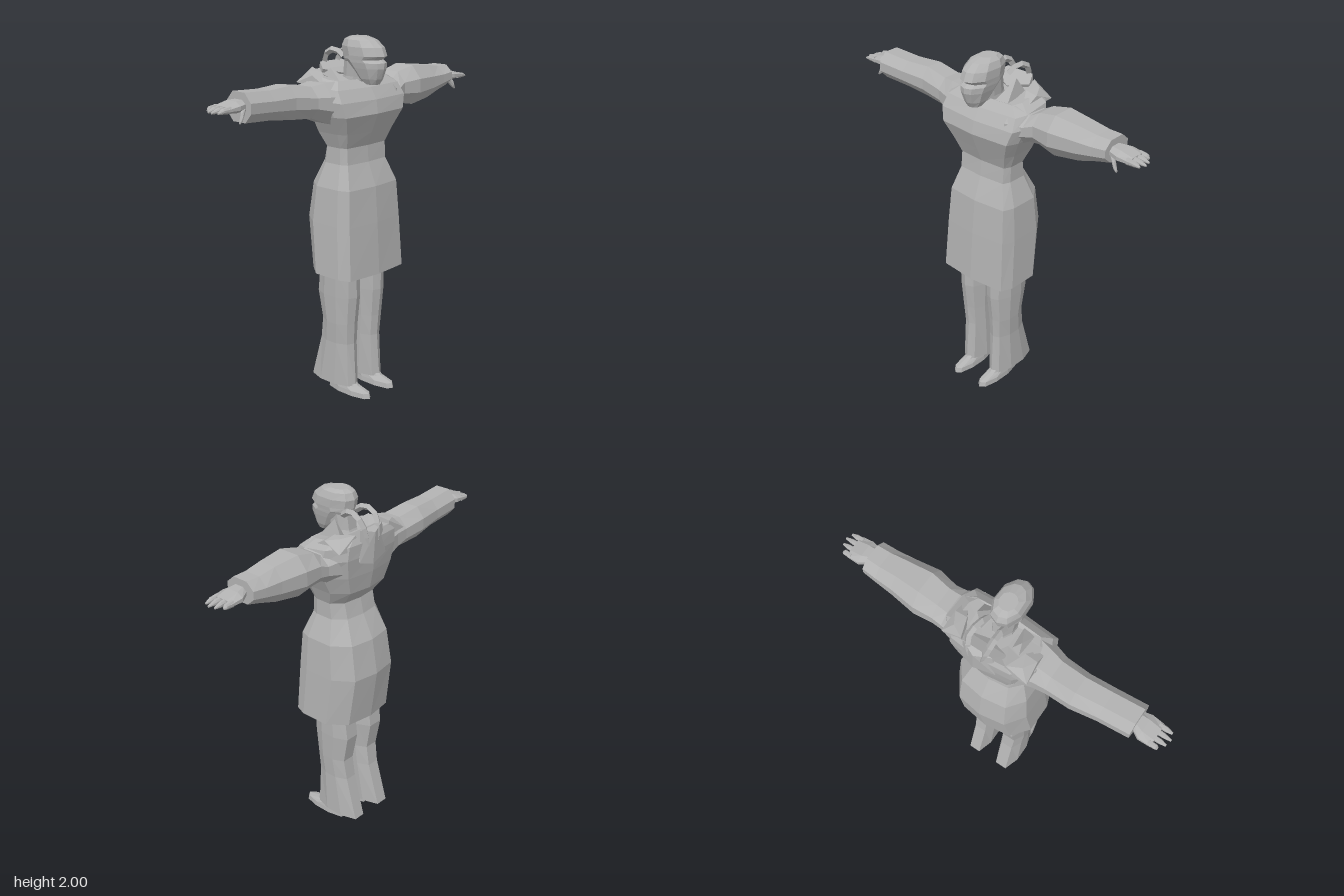
import * as THREE from 'three';
import { ConvexGeometry } from 'three/addons/geometries/ConvexGeometry.js';

const V = (x, y, z) => new THREE.Vector3(x, y, z);

// Closed faceted skin over a list of rings; winding is fixed from the enclosed volume
function loft(rings) {
  const tris = [];
  const n = rings[0].length;
  for (let r = 0; r < rings.length - 1; r++) {
    const a = rings[r], b = rings[r + 1];
    for (let i = 0; i < n; i++) {
      const j = (i + 1) % n;
      tris.push([a[i], a[j], b[j]], [a[i], b[j], b[i]]);
    }
  }
  const cap = (ring, flip) => {
    const c = ring.reduce((s, p) => s.add(p), V(0, 0, 0)).divideScalar(n);
    for (let i = 0; i < n; i++) {
      const p = ring[i], q = ring[(i + 1) % n];
      tris.push(flip ? [c, q, p] : [c, p, q]);
    }
  };
  cap(rings[0], true);
  cap(rings[rings.length - 1], false);
  let volume = 0;
  for (const [a, b, c] of tris) volume += a.dot(b.clone().cross(c));
  const points = tris.flatMap(([a, b, c]) => (volume < 0 ? [a, c, b] : [a, b, c]));
  const g = new THREE.BufferGeometry().setFromPoints(points);
  g.computeVertexNormals();
  return g;
}

// Horizontal ring: outline half is mirrored; tilt raises the back
function levelRing(half, [y, x0, x1, zb, zf, tilt = 0]) {
  const outline = [...half, ...half.slice(1, -1).reverse().map(([u, v]) => [-u, v])];
  const cx = (x0 + x1) / 2, hw = (x1 - x0) / 2, cz = (zb + zf) / 2, hd = (zf - zb) / 2;
  return outline.map(([u, v]) => V(cx + u * hw, y - tilt * (cz + v * hd), cz + v * hd));
}

// Upright ring across a limb that runs along x
const LIMB = [[1, .35], [.5, 1], [-.5, 1], [-1, .35], [-1, -.35], [-.5, -1], [.5, -1], [1, -.35]];
const limbRing = (s, [x, y0, y1, z0, z1]) => LIMB.map(([u, v]) =>
  V(s * x, (y0 + y1) / 2 + v * (y1 - y0) / 2, (z0 + z1) / 2 + u * (z1 - z0) / 2));

const COAT = [[0, 1], [.89, .9], [1, .55], [1, -.35], [.66, -.88], [0, -1]];
const ROUND = [[0, 1], [.6, .85], [1, .3], [1, -.4], [.55, -1], [0, -1]];
const SKULL = [[0, 1], [.5, .88], [.95, .45], [1, -.3], [.6, -.85], [0, -1]];

export function createModel() {
  const root = new THREE.Group();
  const grey = new THREE.MeshStandardMaterial({ color: 0xb2b2b2 });
  grey.name = 'plain grey';

  const add = (name, geometry) => {
    const mesh = new THREE.Mesh(geometry, grey);
    mesh.name = name;
    root.add(mesh);
  };
  const stack = (name, half, rows) => add(name, loft(rows.map((r) => levelRing(half, r))));
  const limb = (name, s, rows) => add(name, loft(rows.map((r) => limbRing(s, r))));
  const facet = (name, pts) => add(name, new ConvexGeometry(pts.map((p) => V(...p))));

  // Coat from hem to shoulders: y, x min, x max, z back, z front, tilt
  stack('coat', COAT, [
    [.71, -.23, .245, -.18, .2],
    [1.0, -.215, .235, -.222, .182],
    [1.2, -.2, .225, -.19, .165],
    [1.33, -.16, .177, -.12, .115],
    [1.42, -.158, .178, -.1, .107],
    [1.5, -.19, .21, -.165, .14],
    [1.6, -.24, .26, -.185, .18],
    [1.69, -.262, .29, -.2, .165, .1],
    [1.755, -.25, .275, -.2, .125, .15],
    [1.79, -.2, .215, -.185, .08, .15],
    [1.775, -.07, .08, -.12, .06, .1],
  ]);

  // Neck and head
  stack('neck', ROUND, [
    [1.72, -.06, .07, -.07, .08],
    [1.79, -.05, .06, -.04, .11],
    [1.87, -.055, .065, -.03, .13],
  ]);
  stack('head', SKULL, [
    [1.755, -.03, .04, .11, .185],
    [1.785, -.048, .058, .06, .205],
    [1.84, -.065, .075, 0, .226],
    [1.87, -.072, .082, -.03, .226],
    [1.885, -.074, .084, -.04, .2],
    [1.905, -.076, .086, -.045, .228],
    [1.95, -.076, .086, -.052, .208],
    [1.985, -.062, .072, -.035, .16],
    [2.0, -.04, .05, 0, .1],
  ]);

  // Sleeves: x, y min, y max, z back, z front
  limb('leftSleeve', 1, [
    [.2, 1.56, 1.78, -.15, .14], [.285, 1.6, 1.745, -.13, .1], [.34, 1.6, 1.775, -.13, .085],
    [.45, 1.58, 1.8, -.14, .105], [.6, 1.6, 1.785, -.12, .085],
    [.7, 1.63, 1.77, -.115, .075], [.78, 1.65, 1.77, -.11, .07],
  ]);
  limb('rightSleeve', -1, [
    [.17, 1.54, 1.78, -.15, .13], [.255, 1.57, 1.775, -.13, .1], [.33, 1.6, 1.765, -.125, .075],
    [.47, 1.61, 1.785, -.13, .06], [.62, 1.63, 1.78, -.11, .068], [.79, 1.64, 1.79, -.1, .077],
  ]);

  for (const s of [1, -1]) {
    const side = s > 0 ? 'left' : 'right';
    const lift = s > 0 ? 0 : .02;

    // Hand with four fingers and a drooping thumb
    limb(side + 'Palm', s, [
      [.77, 1.68 + lift, 1.735 + lift, -.055, .035],
      [.83, 1.672 + lift, 1.73 + lift, -.09, .05],
      [.9, 1.68 + lift, 1.712 + lift, -.088, .045],
    ]);
    [[.955, .03], [.968, -.003], [.96, -.038], [.935, -.073]].forEach(([tip, z], i) =>
      limb(side + 'Finger' + (i + 1), s, [
        [.88, 1.68 + lift, 1.714 + lift, z - .014, z + .014],
        [.925, 1.682 + lift, 1.708 + lift, z - .013, z + .013],
        [tip, 1.684 + lift, 1.694 + lift, z - .006, z + .006],
      ]));
    limb(side + 'Thumb', s, [
      [.79, 1.675 + lift, 1.71 + lift, .01, .04],
      [.82, 1.635 + lift, 1.675 + lift, .03, .055],
      [.836, 1.624 + lift, 1.636 + lift, .04, .052],
    ]);

    // Flared trouser leg and shoe
    const leg = [
      [.76, .022, .175, -.1, .13], [.58, .022, .172, -.122, .132], [.42, .03, .165, -.092, .115],
      [.3, .032, .157, -.11, .108], [.05, .035, .16, -.18, .125],
    ];
    stack(side + 'Trouser', ROUND, leg.map(([y, a, b, zb, zf]) =>
      s > 0 ? [y, a, b, zb, zf] : [y, -b - .008, -a, zb, zf]));
    stack(side + 'Shoe', ROUND, [
      [0, .052, .142, -.062, .23], [.028, .055, .14, -.06, .222],
      [.05, .06, .135, -.06, .14], [.09, .065, .13, -.06, .09],
    ].map(([y, a, b, zb, zf]) => (s > 0 ? [y, a, b, zb, zf] : [y, -b, -a, zb, zf])));

    // Pointed collar flap beside the neck
    const peak = s > 0 ? 1.88 : 1.835;
    facet(side + 'Collar', [
      [s * .085, 1.69, .14], [s * .065, 1.75, .1], [s * .155, 1.765, .07],
      [s * .13, peak, -.03], [s * .145, 1.8, -.08], [s * .09, 1.78, -.06],
    ]);
    // Folded cloth over the shoulder blade
    facet(side + 'ShoulderFold', [
      [s * .17, 1.815, -.06], [s * .24, 1.805, -.06], [s * .2, 1.82, -.13],
      [s * .13, 1.83, -.17], [s * .25, 1.76, -.17], [s * .24, 1.74, .06], [s * .1, 1.75, -.18],
    ]);
    // Hood edge arching from the back of the head to the back
    const arch = new THREE.CatmullRomCurve3([
      V(.02 + s * .05, 1.885, -.03), V(.025 + s * .055, 1.92, -.09),
      V(.03 + s * .06, 1.905, -.15), V(.03 + s * .05, 1.85, -.185), V(.03 + s * .035, 1.76, -.19),
    ]);
    const strap = new THREE.TubeGeometry(arch, 6, .018, 4).toNonIndexed();
    strap.computeVertexNormals();
    add(side + 'HoodEdge', strap);
  }

  // Gathered hood hanging on the back
  facet('hood', [
    [-.1, 1.82, -.12], [.14, 1.82, -.12], [-.06, 1.85, -.18], [.11, 1.85, -.18], [.03, 1.83, -.215],
    [-.08, 1.68, -.19], [.12, 1.68, -.19], [.04, 1.66, -.212], [.02, 1.79, -.08],
  ]);

  return root;
}
